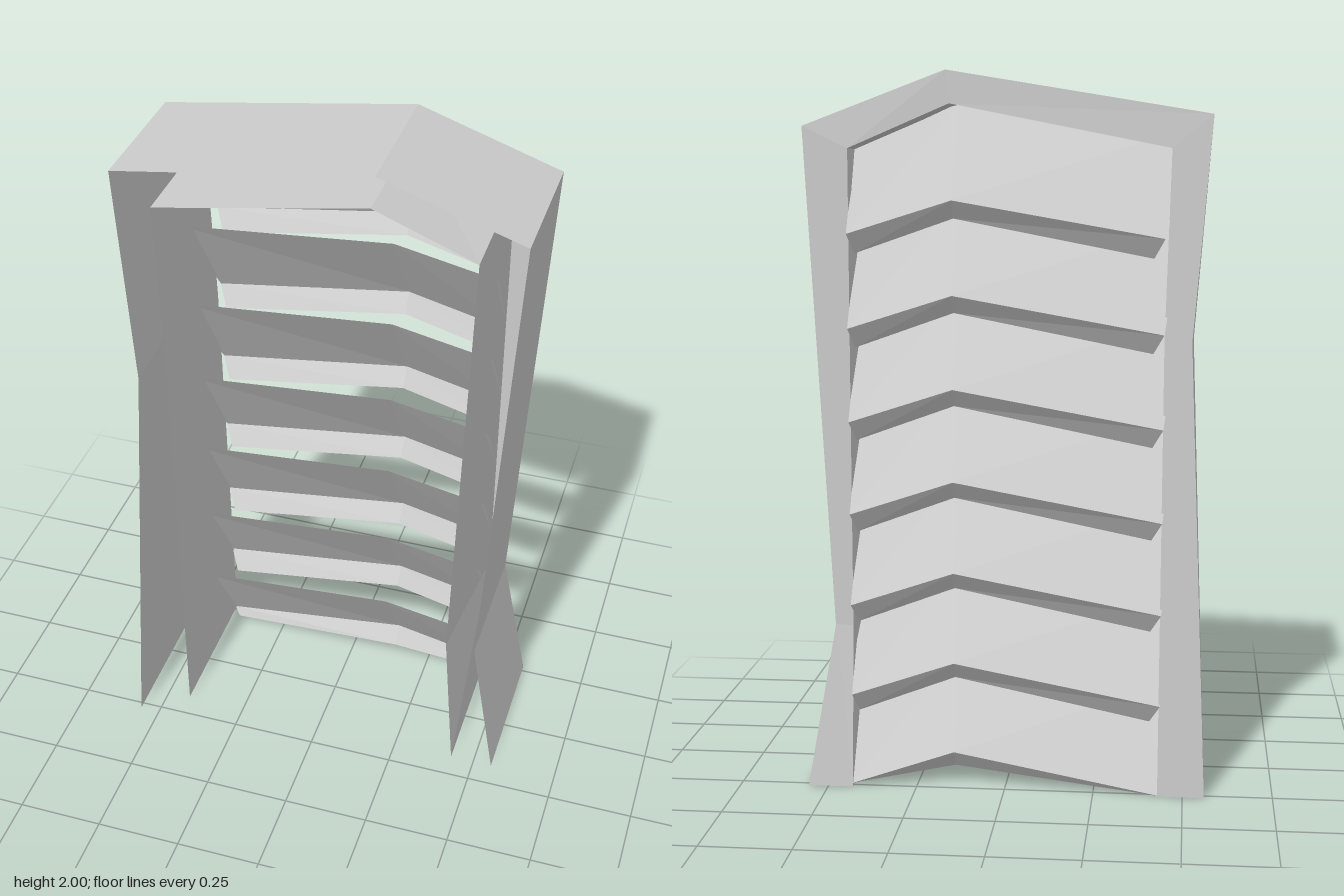
import * as THREE from 'three';

const material = new THREE.MeshStandardMaterial({ color: 0xcccccc, flatShading: true, side: THREE.DoubleSide });

// Thin sheet spanned between successive rows of points
function sheet(name, rows) {
  const positions = [];
  for (let r = 0; r < rows.length - 1; r++) {
    const a = rows[r], b = rows[r + 1];
    for (let i = 0; i < a.length - 1; i++) {
      positions.push(...a[i], ...b[i], ...b[i + 1], ...a[i], ...b[i + 1], ...a[i + 1]);
    }
  }
  const geometry = new THREE.BufferGeometry();
  geometry.setAttribute('position', new THREE.Float32BufferAttribute(positions, 3));
  geometry.computeVertexNormals();
  const mesh = new THREE.Mesh(geometry, material);
  mesh.name = name;
  return mesh;
}

export function createModel() {
  const model = new THREE.Group();
  model.name = 'louveredVent';

  // Arch outlines, running from the right foot over the peak to the left foot
  const outerBack = [
    [-0.56, 0, -0.27], [-0.51, 1.27, -0.235], [-0.56, 1.88, -0.225], [0.165, 2, -0.195],
    [0.555, 1.85, -0.225], [0.48, 0.46, -0.225], [0.556, 0, -0.27],
  ];
  const outerFront = [
    [-0.56, 0, 0.27], [-0.515, 1.24, 0.19], [-0.56, 1.88, 0.175], [0.165, 2, 0.205],
    [0.555, 1.85, 0.175], [0.48, 0.46, 0.175], [0.556, 0, 0.18],
  ];
  const innerBack = [
    [-0.43, 0, -0.265], [-0.435, 1.27, -0.235], [-0.45, 1.79, -0.225], [0.155, 1.91, -0.195],
    [0.43, 1.79, -0.225], [0.43, 0.46, -0.225], [0.43, 0, -0.265],
  ];
  const innerFront = [
    [-0.43, 0, 0.18], [-0.435, 1.27, 0.178], [-0.45, 1.79, 0.175], [0.155, 1.91, 0.205],
    [0.43, 1.78, 0.175], [0.395, 0.46, 0.175], [0.43, 0, 0.18],
  ];

  // Nested shells, joined only by the trim at the back
  model.add(sheet('outerShell', [outerFront, outerBack]));
  model.add(sheet('backTrim', [outerBack, innerBack]));
  model.add(sheet('innerShell', [innerBack, innerFront]));

  // Bent slats sloping down to the back, each with a lip folded under
  const slats = new THREE.Group();
  slats.name = 'slats';
  for (let i = 0; i < 7; i++) {
    const y = 1.84 - i * 0.2585;
    const top = [[-0.48, y, -0.085], [0.145, y + 0.07, -0.06], [0.43, y - 0.007, -0.085]];
    const tip = [[-0.435, y - 0.29, -0.262], [0.145, y - 0.19, -0.235], [0.43, y - 0.28, -0.262]];
    const lip = [[-0.405, y - 0.345, -0.222], [0.145, y - 0.24, -0.195], [0.415, y - 0.335, -0.222]];
    // The lowest slat rests on the ground
    [...tip, ...lip].forEach((p) => { p[1] = Math.max(0, p[1]); });
    slats.add(sheet('slat', [top, tip, lip]));
  }
  model.add(slats);
  return model;
}
